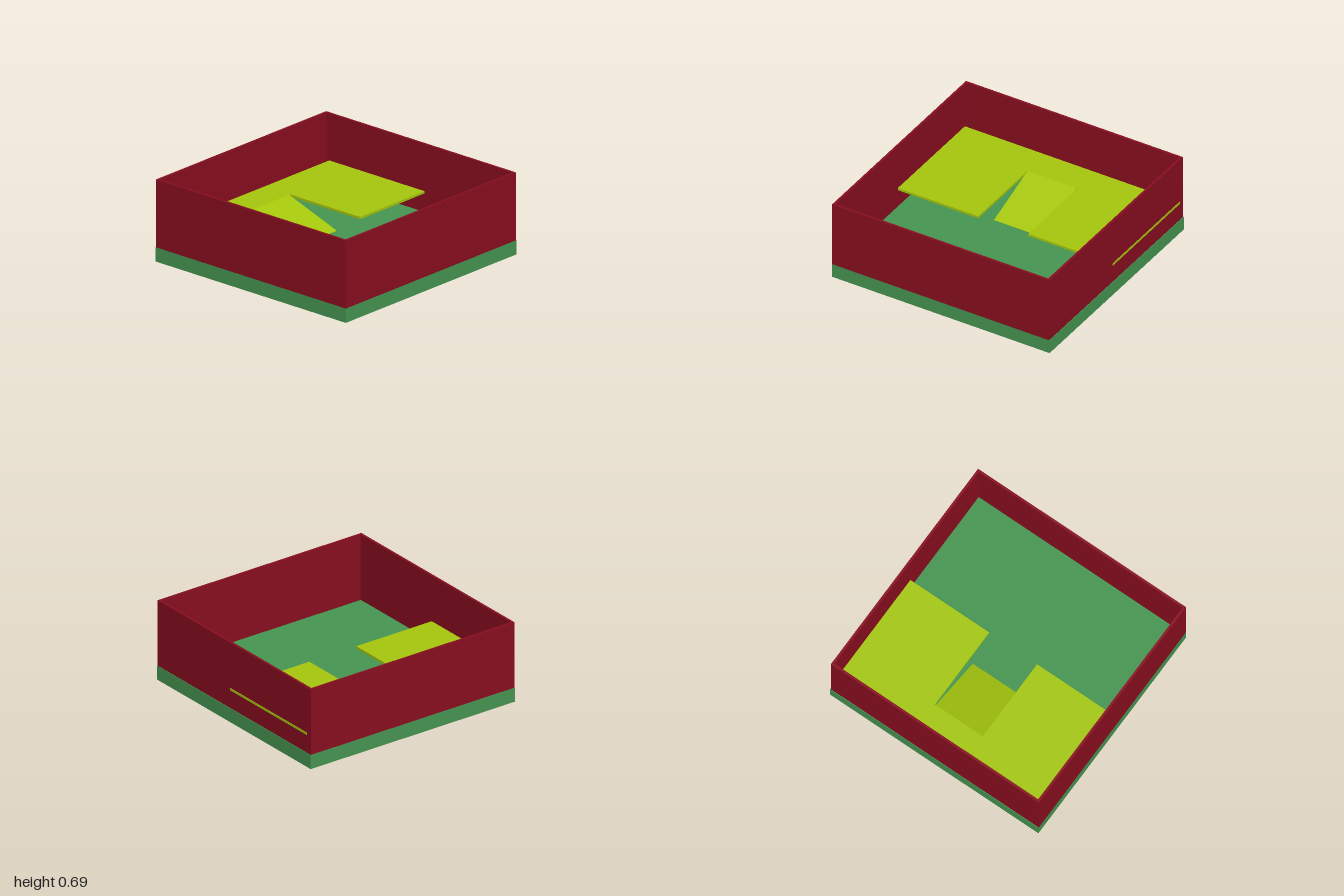
import * as THREE from 'three';

const paint = (color) => new THREE.MeshStandardMaterial({ color, flatShading: true });

export function createModel() {
  const model = new THREE.Group();
  const green = paint(0x469652);
  const red = paint(0x8a0e20);
  const lime = paint(0xa6c80d);

  // box given by its minimum and maximum corners
  const box = (name, material, [x0, y0, z0], [x1, y1, z1]) => {
    const mesh = new THREE.Mesh(new THREE.BoxGeometry(x1 - x0, y1 - y0, z1 - z0), material);
    mesh.position.set((x0 + x1) / 2, (y0 + y1) / 2, (z0 + z1) / 2);
    mesh.name = name;
    model.add(mesh);
    return mesh;
  };

  // ground slab
  const floorY = 0.12, wallTop = 0.69, t = 0.02;
  box('base', green, [-1, 0, -1], [1, floorY, 1]);

  // four thin walls
  const lo = -0.995, hi = 0.995;
  box('frontWall', red, [-1, floorY, 1 - t], [hi, wallTop, 1]);
  box('backWall', red, [-1, floorY, lo], [hi, wallTop, lo + t]);
  box('rightWall', red, [-1, floorY, lo + t], [-1 + t, wallTop, 1 - t]);
  box('leftWall', red, [hi - t, floorY, lo + t], [hi, wallTop, 1 - t]);

  // raised U-shaped platform, its edge showing through the left wall
  const top = 0.295, thick = 0.02;
  const notchL = -0.24, notchR = 0.22, notchBack = -0.68, front = 0.055, back = -0.945;
  const outline = [
    [-0.985, front], [notchL, front], [notchL, notchBack], [notchR, notchBack],
    [notchR, front], [0.998, front], [0.998, back], [-0.985, back],
  ].map(([x, z]) => new THREE.Vector2(x, z));
  const slab = new THREE.ExtrudeGeometry(new THREE.Shape(outline), { depth: thick, bevelEnabled: false });
  slab.rotateX(Math.PI / 2);
  const platform = new THREE.Mesh(slab, lime);
  platform.position.y = top;
  platform.name = 'platform';
  model.add(platform);

  // sloping ramp from the notch down to the floor
  const rampFoot = -0.18;
  const profile = new THREE.Shape([
    new THREE.Vector2(notchBack, top - thick), new THREE.Vector2(rampFoot, floorY - thick),
    new THREE.Vector2(rampFoot, floorY + 0.002), new THREE.Vector2(notchBack, top),
  ]);
  const rampGeometry = new THREE.ExtrudeGeometry(profile, { depth: 0.45, bevelEnabled: false });
  rampGeometry.rotateY(-Math.PI / 2);
  const ramp = new THREE.Mesh(rampGeometry, lime);
  ramp.position.x = 0.21;
  ramp.name = 'ramp';
  model.add(ramp);

  return model;
}
